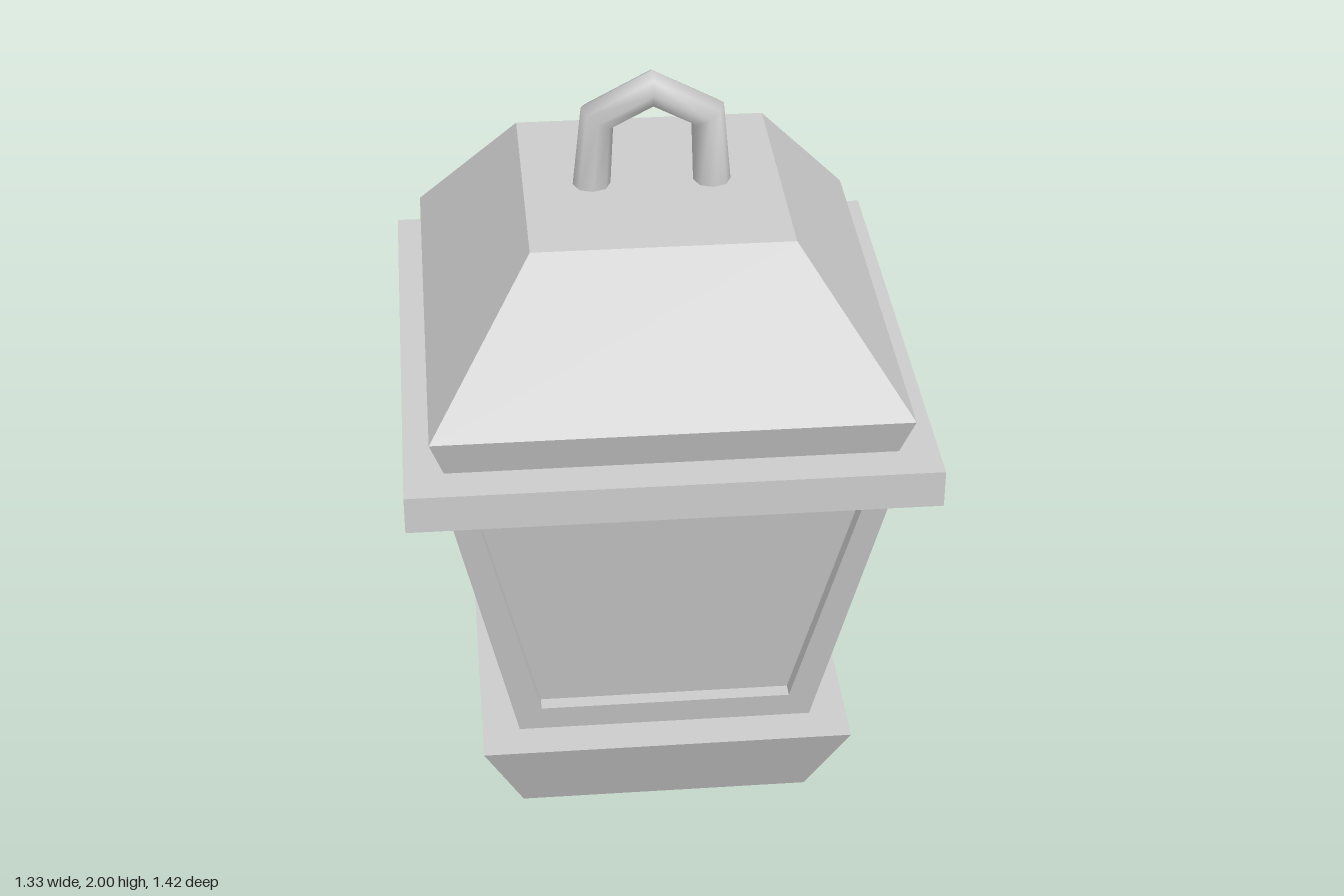
import * as THREE from 'three';
import { mergeVertices } from 'three/addons/utils/BufferGeometryUtils.js';

const material = new THREE.MeshStandardMaterial({ color: 0xcccccc });
const RECESS = 0.04;

function addMesh(parent, name, geometry) {
  const mesh = new THREE.Mesh(geometry, material);
  mesh.name = name;
  parent.add(mesh);
  return mesh;
}

function flat(geometry) {
  const g = geometry.toNonIndexed();
  g.computeVertexNormals();
  return g;
}

// Rectangular solid through levels of [y, halfX, halfZ], bottom to top
function loft(levels) {
  const n = levels.length - 1;
  const g = new THREE.BoxGeometry(2, n, 2, 1, n, 1);
  const p = g.attributes.position;
  for (let i = 0; i < p.count; i++) {
    const [y, hx, hz] = levels[Math.round(p.getY(i) + n / 2)];
    p.setXYZ(i, Math.sign(p.getX(i)) * hx, y, Math.sign(p.getZ(i)) * hz);
  }
  return flat(g);
}

// Trapezoid outline from bottom and top [y, halfWidth]
function trapezoid(path, [y0, w0], [y1, w1]) {
  path.moveTo(-w0, y0);
  path.lineTo(w0, y0);
  path.lineTo(w1, y1);
  path.lineTo(-w1, y1);
  path.closePath();
  return path;
}

// Sloping wall frame with a window hole, mitred at its corners
function wallFrame(bottom, top, holeBottom, holeTop, dist0, dist1) {
  const shape = trapezoid(new THREE.Shape(), bottom, top);
  shape.holes.push(trapezoid(new THREE.Path(), holeBottom, holeTop));
  const g = new THREE.ExtrudeGeometry(shape, { depth: RECESS, bevelEnabled: false });
  const p = g.attributes.position;
  for (let i = 0; i < p.count; i++) {
    const x = p.getX(i), y = p.getY(i), z = p.getZ(i);
    const t = (y - bottom[0]) / (top[0] - bottom[0]);
    const outerBack = z < RECESS / 2 && (t < 0.001 || t > 0.999);
    p.setX(i, outerBack ? x - Math.sign(x) * RECESS : x);
    p.setZ(i, THREE.MathUtils.lerp(dist0, dist1, t) - RECESS + z);
  }
  g.computeVertexNormals();
  return g;
}

// Smooth round bar bent through a few points in the xy plane
function bentBar(points, radius, z0) {
  const n = points.length - 1;
  const g = new THREE.CylinderGeometry(radius, radius, n, 8, n, true);
  const p = g.attributes.position;
  for (let i = 0; i < p.count; i++) {
    const k = Math.round(p.getY(i) + n / 2);
    const c = points[k];
    const t = new THREE.Vector2();
    if (k > 0) t.add(c.clone().sub(points[k - 1]).normalize());
    if (k < n) t.add(points[k + 1].clone().sub(c).normalize());
    t.normalize();
    const a = p.getX(i);
    p.setXYZ(i, c.x + t.y * a, c.y - t.x * a, z0 + p.getZ(i));
  }
  g.deleteAttribute('uv');
  g.deleteAttribute('normal');
  const merged = mergeVertices(g);
  merged.computeVertexNormals();
  return merged;
}

export function createModel() {
  const lantern = new THREE.Group();
  lantern.name = 'lantern';

  // Flared foot
  addMesh(lantern, 'base', loft([[0, 0.39, 0.415], [0.255, 0.495, 0.528]]));

  // Body: recessed panes inside four framed walls
  const y0 = 0.255, y1 = 1.12;
  const x0 = 0.395, x1 = 0.565, z0 = 0.425, z1 = 0.605;
  const body = new THREE.Group();
  body.name = 'body';
  lantern.add(body);
  addMesh(body, 'windowPanes', loft([
    [y0, x0 - RECESS, z0 - RECESS],
    [y1, x1 - RECESS, z1 - RECESS],
  ]));
  const frontFrame = wallFrame([y0, x0], [y1, x1], [0.335, 0.335], [1.05, 0.485], z0, z1);
  const sideFrame = wallFrame([y0, z0], [y1, z1], [0.335, 0.36], [1.05, 0.523], x0, x1);
  ['frontFrame', 'leftFrame', 'backFrame', 'rightFrame'].forEach((name, i) => {
    addMesh(body, name, i % 2 ? sideFrame : frontFrame).rotation.y = i * Math.PI / 2;
  });

  // Overhanging slab and hipped roof
  addMesh(lantern, 'eaves', loft([[1.12, 0.665, 0.708], [1.22, 0.665, 0.708]]));
  addMesh(lantern, 'roof', loft([
    [1.22, 0.565, 0.605],
    [1.325, 0.598, 0.64],
    [1.69, 0.33, 0.356],
  ]));

  // Carrying handle
  const path = [[-0.155, 1.67], [-0.138, 1.878], [0.002, 1.952], [0.143, 1.878], [0.157, 1.67]];
  addMesh(lantern, 'handle', bentBar(path.map(([x, y]) => new THREE.Vector2(x, y)), 0.049, 0.006));

  return lantern;
}
